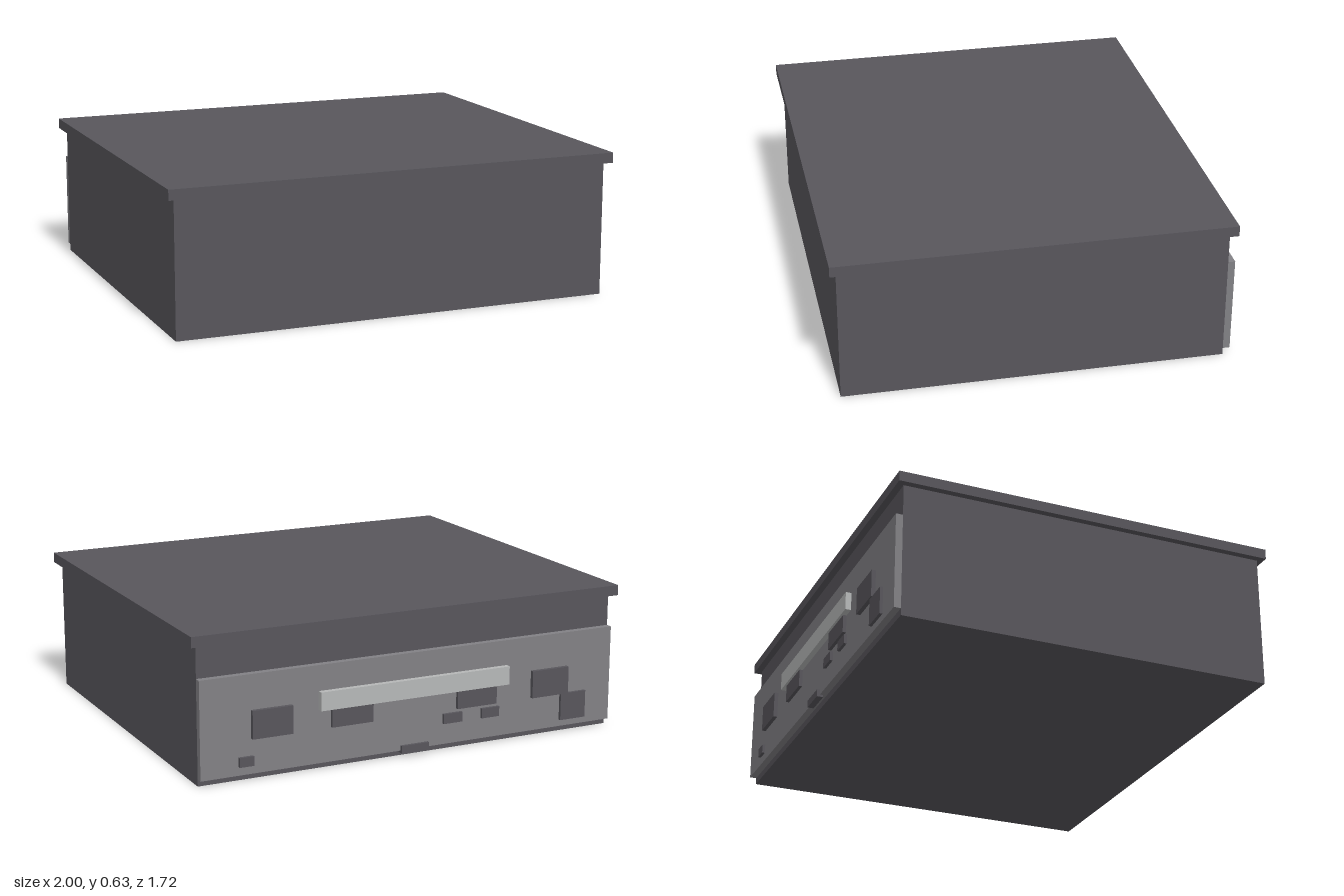
import * as THREE from 'three';

const material = (name, color) => {
  const m = new THREE.MeshStandardMaterial({ color });
  m.name = name;
  return m;
};

export function createModel() {
  const group = new THREE.Group();
  const dark = material('dark grey', 0x58565c);
  const grey = material('mid grey', 0x828185);
  const light = material('light grey', 0xb6b8b8);

  // Box given by its extents on each axis
  const box = (name, mat, [x0, x1], [y0, y1], [z0, z1]) => {
    const mesh = new THREE.Mesh(new THREE.BoxGeometry(x1 - x0, y1 - y0, z1 - z0), mat);
    mesh.position.set((x0 + x1) / 2, (y0 + y1) / 2, (z0 + z1) / 2);
    mesh.name = name;
    group.add(mesh);
  };

  // Case and overhanging lid
  box('body', dark, [-0.97, 0.97], [0, 0.587], [-0.805, 0.832]);
  box('lid', dark, [-1, 1], [0.587, 0.632], [-0.835, 0.86]);

  // Rear panel and its light bar
  const face = -0.835;
  box('rearPanel', grey, [-0.97, 0.97], [0.03, 0.45], [face, -0.805]);
  box('rearBar', light, [-0.445, 0.445], [0.26, 0.34], [-0.86, face]);

  // Mirrored pairs: large outer blocks and blocks under the bar
  for (const s of [-1, 1]) {
    const span = (a, b) => (s > 0 ? [a, b] : [-b, -a]);
    box('outerBlock', dark, span(0.567, 0.747), [0.18, 0.3], [-0.853, face]);
    box('underBarBlock', dark, span(0.2, 0.39), [0.18, 0.26], [-0.85, face]);
  }

  // Small rear fittings
  box('smallSocket', dark, [0.74, 0.803], [0.067, 0.108], [-0.848, face]);
  box('lowerBlock', dark, [-0.84, -0.715], [0.06, 0.18], [-0.848, face]);
  box('innerButton', dark, [-0.225, -0.135], [0.122, 0.165], [-0.848, face]);
  box('outerButton', dark, [-0.405, -0.32], [0.122, 0.165], [-0.848, face]);
  box('bottomLatch', dark, [-0.065, 0.065], [0.02, 0.053], [-0.848, -0.82]);

  return group;
}
